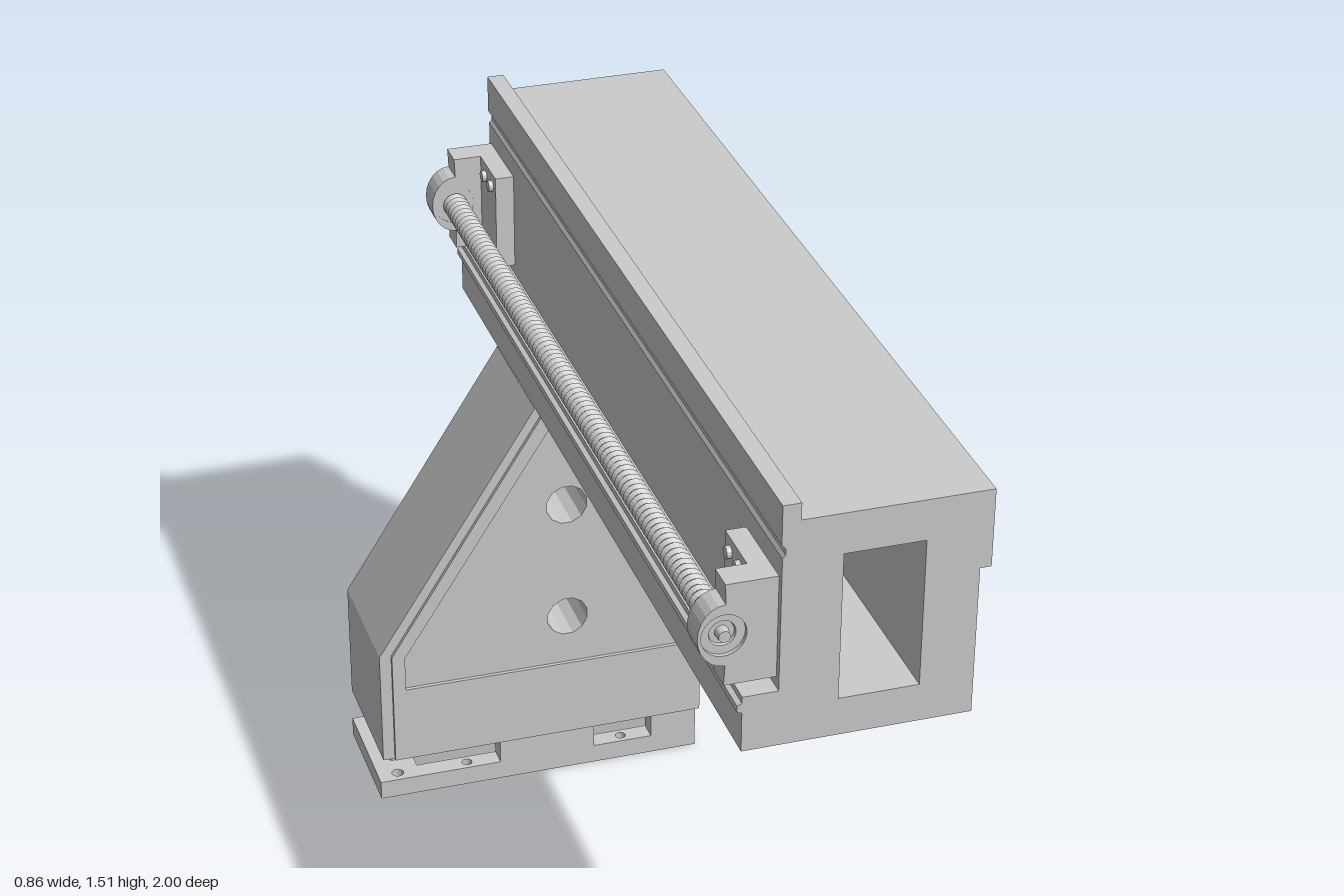
import * as THREE from 'three';

const material = new THREE.MeshStandardMaterial({ color: 0xcccccc, flatShading: true, side: THREE.DoubleSide });

function add(parent, name, geometry, x = 0, y = 0, z = 0) {
  const mesh = new THREE.Mesh(geometry, material);
  mesh.name = name;
  mesh.position.set(x, y, z);
  parent.add(mesh);
  return mesh;
}

const poly = (pts) => pts.map(([x, y]) => new THREE.Vector2(x, y));
const rect = (x0, y0, x1, y1) => [[x0, y0], [x1, y0], [x1, y1], [x0, y1]];
const circle = (x, y, r, n = 12) => Array.from({ length: n }, (_, i) => {
  const a = ((i + 0.5) / n) * Math.PI * 2;
  return [x + r * Math.cos(a), y + r * Math.sin(a)];
});

// Prism from an outline with holes, running from z0 to z1
function prism(outline, holes, z0, z1) {
  const shape = new THREE.Shape(poly(outline));
  for (const h of holes) shape.holes.push(new THREE.Path(poly(h)));
  return new THREE.ExtrudeGeometry(shape, { depth: z1 - z0, bevelEnabled: false }).translate(0, 0, z0);
}

// Box given by its limits
function slab(parent, name, x0, x1, y0, y1, z0, z1) {
  return add(parent, name, new THREE.BoxGeometry(x1 - x0, y1 - y0, z1 - z0),
    (x0 + x1) / 2, (y0 + y1) / 2, (z0 + z1) / 2);
}

function makeBeam() {
  const g = new THREE.Group();
  g.name = 'beam';
  const outline = [
    [-0.06, 0.99], [0.405, 0.99], [0.405, 1.31], [0.428, 1.31], [0.428, 1.477], [0.047, 1.477],
    [0.047, 1.513], [0.01, 1.513], [0.01, 1.43], [0.018, 1.42], [0.018, 1.408], [0.012, 1.40],
    [0.012, 1.112], [-0.06, 1.112], [-0.06, 1.098], [-0.07, 1.094], [-0.07, 1.08], [-0.06, 1.076],
  ];
  add(g, 'hollowBeam', prism(outline, [rect(0.132, 1.072, 0.295, 1.39)], -1, 1));
  return g;
}

const AX = -0.093, AY = 1.245; // screw axis

// Bearing bracket at the +z end
function makeBearing() {
  const g = new THREE.Group();
  g.name = 'bearing';
  const arc = Array.from({ length: 13 }, (_, i) => {
    const a = Math.PI / 2 + (i / 12) * Math.PI;
    return [-0.09 + 0.055 * Math.cos(a), AY + 0.067 * Math.sin(a)];
  });
  const bore = [circle(AX, AY, 0.045, 24)];
  add(g, 'housing', prism([[0.012, 1.135], [0.012, 1.355], [-0.092, 1.355], ...arc, [-0.092, 1.135]], bore, 0.925, 0.985));
  slab(g, 'mountingFlange', -0.03, 0.012, 1.135, 1.355, 0.8, 0.93);
  // Stepped cap with a ring groove and shaft end
  const cap = poly([[0, 0.926], [0.045, 0.926], [0.045, 0.976], [0.027, 0.976], [0.025, 0.97],
    [0.014, 0.97], [0.012, 0.99], [0, 0.99]]);
  add(g, 'bearingCap', new THREE.LatheGeometry(cap, 24).rotateX(Math.PI / 2), AX, AY, 0);
  for (const y of [1.165, 1.325]) for (const z of [0.83, 0.885]) {
    add(g, 'flangeBolt', new THREE.CylinderGeometry(0.013, 0.013, 0.012, 12).rotateZ(Math.PI / 2), -0.034, y, z);
  }
  return g;
}

function makeDrive() {
  const g = new THREE.Group();
  g.name = 'screwDrive';
  const pts = [];
  const ridges = 95;
  for (let i = 0; i <= ridges * 2; i++) {
    pts.push(new THREE.Vector2(i % 2 ? 0.028 : 0.022, -0.93 + (1.86 * i) / (ridges * 2)));
  }
  add(g, 'leadScrew', new THREE.LatheGeometry(pts, 20).rotateX(Math.PI / 2), AX, AY, 0);
  const front = makeBearing();
  const back = makeBearing();
  back.scale.z = -1;
  g.add(front, back);
  return g;
}

function makeColumn() {
  const g = new THREE.Group();
  g.name = 'column';
  const zF = -0.405, zB = -0.73, x1 = 0.325;
  const outer = [[-0.427, 0.115], [x1, 0.115], [x1, 0.977], [-0.055, 0.977], [-0.427, 0.395]];
  const facing = [[-0.4, 0.115], [x1, 0.115], [x1, 0.977], [-0.03, 0.977], [-0.4, 0.395]];
  const panel = [[-0.37, 0.303], [0.307, 0.303], [0.307, 0.94], [-0.015, 0.94], [-0.37, 0.388]];
  const holes = [0.72, 0.425].map((y) => circle(0.017, y, 0.048));
  // Walls, open underneath
  const walls = [[-0.427, 0.115], [-0.395, 0.115], [-0.395, 0.385], [-0.04, 0.945], [0.295, 0.945],
    [0.295, 0.115], [x1, 0.115], [x1, 0.977], [-0.055, 0.977], [-0.427, 0.395]];
  add(g, 'outerWalls', prism(walls, [], zB + 0.03, zF - 0.03));
  // Side plates with raised border around the panel
  for (const [plate, border] of [[[zF - 0.03, zF - 0.009], [zF - 0.009, zF]], [[zB + 0.009, zB + 0.03], [zB, zB + 0.009]]]) {
    add(g, 'sidePlate', prism(outer, holes, ...plate));
    add(g, 'sideBorder', prism(facing, [panel], ...border));
  }
  for (const y of [0.72, 0.425]) {
    add(g, 'throughTube', new THREE.CylinderGeometry(0.048, 0.048, 0.3, 12, 1, true)
      .rotateX(Math.PI / 2).rotateZ(Math.PI / 12), 0.017, y, (zF + zB) / 2);
  }
  // Raised border on the upright end
  add(g, 'endBorder', prism(rect(-zF, 0.115, -zB, 0.977), [rect(0.435, 0.308, 0.7, 0.925)], x1, 0.335)
    .rotateY(Math.PI / 2));
  return g;
}

function makeBase() {
  const g = new THREE.Group();
  g.name = 'base';
  // U-shaped foot plate with bolt holes
  const u = [[-0.432, 0.427], [0.332, 0.427], [0.332, 0.472], [-0.335, 0.472], [-0.335, 0.662],
    [0.332, 0.662], [0.332, 0.707], [-0.432, 0.707]];
  const holes = [0.455, 0.567, 0.68].map((y) => circle(-0.385, y, 0.014));
  for (const y of [0.45, 0.685]) holes.push(circle(0.155, y, 0.012), circle(-0.22, y, 0.012));
  add(g, 'footPlate', prism(u, holes, 0, 0.045).rotateX(-Math.PI / 2));
  for (const [z0, z1] of [[-0.472, -0.427], [-0.707, -0.662]]) {
    slab(g, 'middlePad', -0.145, 0.083, 0.045, 0.13, z0, z1);
    slab(g, 'endPad', 0.223, 0.332, 0.045, 0.13, z0, z1);
  }
  for (const z of [-0.515, -0.62]) {
    add(g, 'levellingPin', new THREE.CylinderGeometry(0.008, 0.008, 0.11, 10), -0.383, 0.09, z);
  }
  return g;
}

export function createModel() {
  const model = new THREE.Group();
  model.name = 'beamOnColumn';
  model.add(makeBeam(), makeDrive(), makeColumn(), makeBase());
  return model;
}
